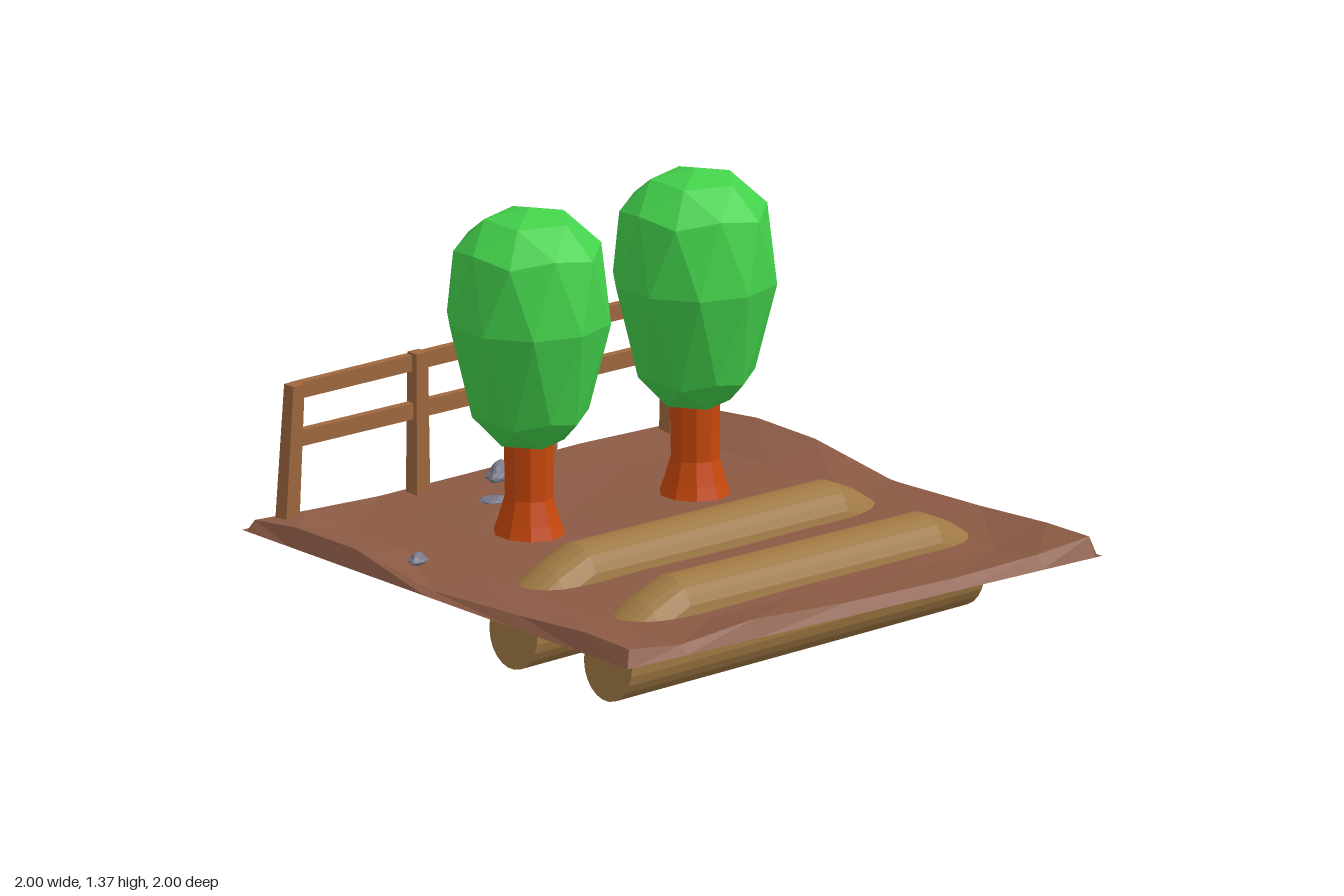
import * as THREE from 'three';

const material = (color) => new THREE.MeshStandardMaterial({ color, flatShading: true, side: THREE.DoubleSide });
const SOIL = material(0x8b5a45), LOG = material(0x9f7843), LEAF = material(0x43d14b);
const BARK = material(0xc8480c), WOOD = material(0xa0683e), ROCK = material(0x777788);

function part(name, geometry, mat) {
  const flat = geometry.index ? geometry.toNonIndexed() : geometry;
  flat.computeVertexNormals();
  const mesh = new THREE.Mesh(flat, mat);
  mesh.name = name;
  return mesh;
}

function indexed(points, index) {
  const g = new THREE.BufferGeometry();
  g.setAttribute('position', new THREE.Float32BufferAttribute(points, 3));
  g.setIndex(index);
  return g;
}

function warp(geometry, rule) {
  const p = geometry.attributes.position, v = new THREE.Vector3();
  for (let i = 0; i < p.count; i++) {
    rule(v.fromBufferAttribute(p, i));
    p.setXYZ(i, v.x, v.y, v.z);
  }
  return geometry;
}

// Ground slab: flat underside, low uneven bank just inside each edge
function ground() {
  const s = [-1, -0.97, -0.75, -0.45, -0.05, 0.4, 0.75, 0.97, 1], n = s.length;
  const base = 0.255;
  const front = [0, 0.31, 0.285, 0.312, 0.293, 0.288, 0.3, 0.32];
  const back = [0, 0.29, 0.28, 0.27, 0.275, 0.285, 0.28, 0.29];
  const side = [0, 0.285, 0.315, 0.315, 0.268, 0.29, 0.315, 0.315];
  const height = (i, j) => {
    if (i === 0 || j === 0 || i === n - 1 || j === n - 1) return base;
    if (j === n - 2) return front[i];
    if (j === 1) return back[i];
    if (i === 1 || i === n - 2) return side[j];
    return 0.268 + 0.004 * Math.sin(i * 2 + j * 3);
  };
  const points = [], index = [];
  for (let j = 0; j < n; j++) for (let i = 0; i < n; i++) points.push(s[i], height(i, j), s[j]);
  for (let j = 0; j < n - 1; j++) for (let i = 0; i < n - 1; i++) {
    const a = j * n + i, b = a + n;
    index.push(a, b, a + 1, a + 1, b, b + 1);
  }
  const c = [0, n - 1, n * n - 1, n * (n - 1)];
  index.push(c[0], c[1], c[2], c[0], c[2], c[3]);
  return part('ground', indexed(points, index), SOIL);
}

// Half-buried log: round ends, with the upper half lifted along the middle
function log(name, x, z) {
  const stations = [[-0.75, 0], [-0.63, 0.07], [-0.5, 0.122], [0.6, 0.1], [0.7, 0.055], [0.785, 0]];
  const sides = 24, r = 0.124, points = [], index = [];
  for (const [sx, lift] of stations) {
    const t = (sx + 0.75) / 1.535;
    for (let k = 0; k < sides; k++) {
      const a = ((k + 0.5) / sides) * Math.PI * 2;
      const y = r + 0.02 * t + r * Math.sin(a) + (Math.sin(a) > 0 ? lift : 0);
      points.push(x + sx + 0.08 * (y - 0.13), y, z - 0.04 * sx + r * Math.cos(a));
    }
  }
  const last = stations.length - 1;
  for (let i = 0; i < last; i++) for (let k = 0; k < sides; k++) {
    const k2 = (k + 1) % sides, a = i * sides + k, b = i * sides + k2;
    index.push(a, a + sides, b, b, a + sides, b + sides);
  }
  for (let k = 1; k < sides - 1; k++) {
    index.push(0, k, k + 1, last * sides, last * sides + k + 1, last * sides + k);
  }
  return part(name, indexed(points, index), LOG);
}

// Tree: flared trunk and a faceted egg-shaped crown
function tree(name, x, z) {
  const group = new THREE.Group();
  group.name = name;
  const profile = [[0, 0.245], [0.128, 0.245], [0.105, 0.31], [0.082, 0.39], [0.086, 0.62], [0, 0.62]];
  const trunk = new THREE.LatheGeometry(profile.map(([a, b]) => new THREE.Vector2(a, b)), 10);
  group.add(part('trunk', trunk, BARK));

  const crown = new THREE.IcosahedronGeometry(1, 1);
  crown.rotateZ(-Math.atan(2 / (1 + Math.sqrt(5))));
  warp(crown, (v) => {
    const s = Math.min(1, Math.abs(v.y));
    const w = v.y < -0.1 ? 0.22 : 0.278;
    v.x *= w;
    v.z *= w;
    if (s < 0.01) v.y = 1;
    else v.y = v.y > 0 ? 1 + 0.375 * s ** 0.6 : 1 - 0.45 * s ** 0.45;
  });
  group.add(part('crown', crown, LEAF));
  group.position.set(x, 0, z);
  return group;
}

// Fence: four leaning posts and two rails
function fence() {
  const group = new THREE.Group();
  group.name = 'fence';
  const posts = [[-0.872, -0.86, 0.75], [-0.32, -0.34, 0.76], [0.215, 0.205, 0.755], [0.747, 0.735, 0.765]];
  for (const [x0, x1, top] of posts) {
    const g = warp(new THREE.BoxGeometry(1, 1, 1), (v) => {
      const up = v.y > 0, w = up ? 0.048 : 0.057;
      v.set((up ? x1 : x0) + v.x * w, up ? top : 0.26, (up ? -0.9 : -0.923) + v.z * w);
    });
    group.add(part('fencePost', g, WOOD));
  }
  for (const [left, right] of [[0.722, 0.732], [0.558, 0.562]]) {
    const g = warp(new THREE.BoxGeometry(1, 1, 1), (v) => {
      v.set(-0.05 + v.x * 1.61, (v.x < 0 ? left : right) + v.y * 0.055, -0.915 + v.z * 0.028);
    });
    group.add(part('fenceRail', g, WOOD));
  }
  return group;
}

// Lumpy stone
function rock(x, y, z, w, h, d, turn, seed) {
  const g = warp(new THREE.IcosahedronGeometry(1, 3), (v) => {
    const lump = 1 + 0.18 * Math.sin(3 * v.x + seed) * Math.cos(4 * v.z + seed) + 0.1 * Math.sin(6 * v.y + 2 * seed);
    v.multiplyScalar(lump);
    v.set(v.x * w / 2, v.y * h / 2, v.z * d / 2);
  });
  g.rotateY(turn);
  const mesh = part('rock', g, ROCK);
  mesh.position.set(x, y, z);
  return mesh;
}

export function createModel() {
  const model = new THREE.Group();
  model.name = 'woodlandPlot';
  model.add(
    ground(),
    log('backLog', -0.01, 0.083),
    log('frontLog', 0.005, 0.555),
    tree('rightTree', -0.31, -0.36),
    tree('leftTree', 0.39, -0.36),
    fence(),
    rock(-0.02, 0.285, -0.865, 0.11, 0.08, 0.07, 0.1, 1),
    rock(0.73, 0.295, -0.81, 0.12, 0.07, 0.075, -0.2, 2),
    rock(-0.18, 0.265, -0.69, 0.11, 0.045, 0.07, -0.5, 3),
    rock(-0.82, 0.28, -0.31, 0.07, 0.045, 0.05, 0, 4)
  );
  return model;
}
